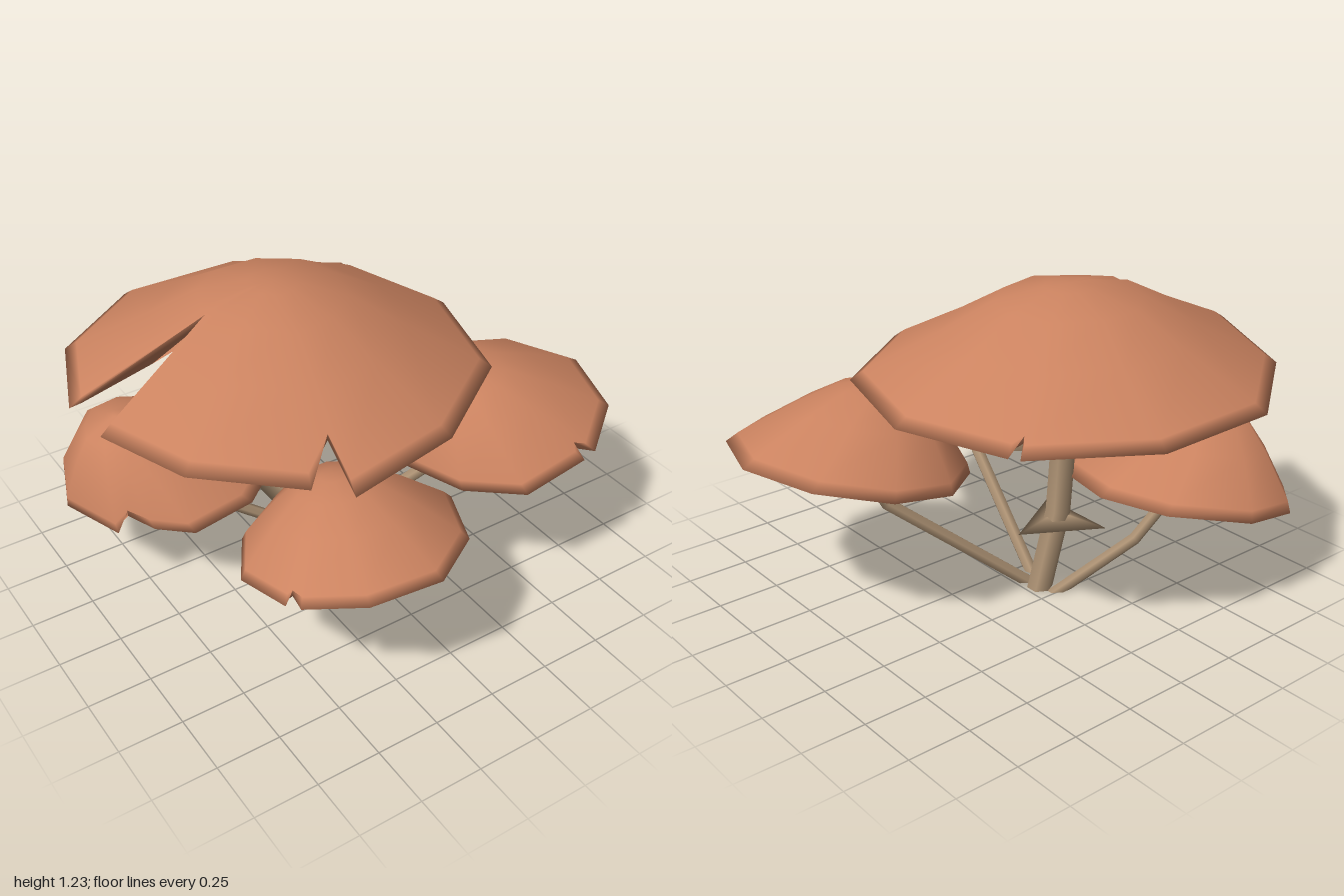
import * as THREE from 'three';
import { mergeVertices } from 'three/addons/utils/BufferGeometryUtils.js';

const V = (p) => new THREE.Vector3(...p);

// Straight-segment path whose tube rings sit exactly on the given points
class Polyline extends THREE.Curve {
  constructor(points) { super(); this.points = points.map(V); }
  getPoint(t, target = new THREE.Vector3()) {
    const s = t * (this.points.length - 1);
    const i = Math.min(Math.floor(s), this.points.length - 2);
    return target.lerpVectors(this.points[i], this.points[i + 1], s - i);
  }
  getPointAt(u, target) { return this.getPoint(u, target); }
  getTangentAt(u, target) { return this.getTangent(u, target); }
}

const RINGS = [0, 0.12, 0.35, 0.6, 0.94, 1];
const BROAD = [0, 0.03, 0.17, 0.5, 0.9, 1];
const ROUND = [0, 0.03, 0.14, 0.42, 0.88, 1];

// Outer skin from apex to rim, then back along the flatter underside: [radius, offset]
const ROWS = [...RINGS.map((t) => [t, 0]), [0.94, -0.025],
  [0.6, -0.07], [0.35, -0.1], [0.12, -0.11], [0, -0.11]];

// Drop below the apex (0..1) at radius fraction t
function drop(profile, t) {
  const i = RINGS.findIndex((r) => r >= t - 1e-9);
  if (i <= 0) return 0;
  return THREE.MathUtils.mapLinear(t, RINGS[i - 1], RINGS[i], profile[i - 1], profile[i]);
}

// Domed cap. Rim entries: [x, z, reach, lift]; a reach below 1 cuts a notch.
function capGeometry({ center, apex, slope, profile, rim }) {
  const c = V(center), axis = V(apex).sub(c);
  const pos = [], normals = [], index = [], n = ROWS.length;
  rim.forEach(([x, z, reach = 1, lift = 0], i) => {
    const dx = x - c.x, dz = z - c.z;
    const edge = new THREE.Vector3(dx, dx * slope[0] + dz * slope[1] + lift, dz);
    const across = new THREE.Vector3(-dz, -dz * slope[0] + dx * slope[1], dx);
    const column = (limit) => ROWS.map(([t, dy]) => {
      const r = Math.min(t, limit);
      const p = c.clone().addScaledVector(edge, r).addScaledVector(axis, 1 - drop(profile, r));
      p.y += dy;
      return p;
    });
    // Smooth normals come from the uncut column
    const full = column(1);
    column(reach).forEach((p, k) => {
      const normal = axis.clone();
      if (k === n - 1) normal.negate();
      else if (k > 0) {
        const before = full[k].clone().sub(full[k - 1]).normalize();
        const after = full[k + 1].clone().sub(full[k]).normalize();
        normal.crossVectors(across, before.add(after));
      }
      pos.push(...p.toArray());
      normals.push(...normal.normalize().toArray());
    });
    const a = i * n, b = ((i + 1) % rim.length) * n;
    for (let k = 0; k < n - 1; k++) {
      index.push(a + k, b + k + 1, a + k + 1, a + k, b + k, b + k + 1);
    }
  });
  const g = new THREE.BufferGeometry();
  g.setAttribute('position', new THREE.Float32BufferAttribute(pos, 3));
  g.setAttribute('normal', new THREE.Float32BufferAttribute(normals, 3));
  g.setIndex(index);
  return g;
}

const CAPS = {
  mainCap: {
    center: [-0.19, 0.89, -0.13], apex: [-0.19, 1.24, -0.16], slope: [-0.015, 0], profile: BROAD,
    rim: [[-0.44, -0.93], [0.06, -0.93], [0.46, -0.66], [0.46, -0.65, 0.9], [0.48, -0.62],
      [0.62, -0.18], [0.48, 0.31], [0.07, 0.6], [-0.4, 0.7], [-0.43, 0.7, 0.75],
      [-0.51, 0.6, 1, 0.01], [-0.83, 0.32, 1, 0.015], [-0.98, 0, 1, 0.045],
      [-0.97, -0.16, 0.36], [-1, -0.21, 1, 0.05], [-0.83, -0.64, 1, 0.015]],
  },
  leftCap: {
    center: [0.56, 0.61, 0.23], apex: [0.38, 0.885, 0.23], slope: [0.18, 0], profile: ROUND,
    rim: [[0.67, -0.24], [0.89, -0.06], [0.995, 0.23], [0.9, 0.53], [0.69, 0.69],
      [0.66, 0.7, 0.89], [0.63, 0.7], [0.36, 0.7], [0.2, 0.52], [0.12, 0.24],
      [0.2, -0.06], [0.42, -0.24]],
  },
  frontCap: {
    center: [-0.29, 0.535, 0.5], apex: [-0.31, 0.78, 0.42], slope: [0.025, 0.15], profile: ROUND,
    rim: [[-0.36, 0.1], [-0.14, 0.11], [0.05, 0.26], [0.14, 0.53], [0.02, 0.79], [-0.2, 0.93],
      [-0.47, 0.89], [-0.65, 0.75], [-0.68, 0.725, 0.9], [-0.68, 0.7], [-0.72, 0.47],
      [-0.59, 0.25]],
  },
  backCap: {
    center: [-0.56, 0.42, -0.41], apex: [-0.75, 0.7, -0.42], slope: [0.12, 0], profile: ROUND,
    rim: [[-0.7, -0.87], [-0.48, -0.87], [-0.24, -0.67], [-0.14, -0.42], [-0.2, -0.14],
      [-0.42, 0.03], [-0.67, 0.04], [-0.78, -0.08], [-0.84, -0.13, 0.87],
      [-0.89, -0.17, 1, -0.02], [-0.985, -0.42], [-0.88, -0.7, 1, -0.025]],
  },
};

const STEMS = {
  mainStem: [0.05, [[-0.06, 0.01, -0.17], [-0.15, 0.32, -0.17], [-0.18, 0.66, -0.165],
    [-0.185, 1.15, -0.165]]],
  leftStem: [0.027, [[-0.05, 0.01, -0.1], [0.44, 0.41, 0.15], [0.49, 0.52, 0.18],
    [0.46, 0.78, 0.22]]],
  frontStem: [0.027, [[-0.12, 0.01, -0.04], [-0.22, 0.37, 0.44], [-0.255, 0.48, 0.48],
    [-0.31, 0.7, 0.44]]],
  backStem: [0.025, [[-0.1, 0.01, -0.24], [-0.39, 0.19, -0.36], [-0.57, 0.4, -0.42],
    [-0.69, 0.61, -0.42]]],
};

// Six-sided bent tube with its foot cut level
function stemGeometry(radius, points) {
  const g = new THREE.TubeGeometry(new Polyline(points), points.length - 1, radius, 6);
  const p = g.attributes.position;
  const dir = V(points[1]).sub(V(points[0]));
  for (let i = 0; i <= 6; i++) {
    const v = new THREE.Vector3().fromBufferAttribute(p, i);
    v.addScaledVector(dir, (points[0][1] - v.y) / dir.y);
    p.setXYZ(i, v.x, v.y, v.z);
  }
  return g;
}

// Three-pointed skirt with softened normals
function skirtGeometry(radius, height) {
  const g = new THREE.CylinderGeometry(0.045, radius, height, 3, 1, false, Math.PI / 2);
  g.deleteAttribute('normal');
  g.deleteAttribute('uv');
  const merged = mergeVertices(g);
  merged.computeVertexNormals();
  return merged;
}

export function createModel() {
  const group = new THREE.Group();
  const capMat = new THREE.MeshStandardMaterial({ color: 0xcb8360, side: THREE.DoubleSide });
  capMat.name = 'terracotta cap';
  const stemMat = new THREE.MeshStandardMaterial({ color: 0xac9173, side: THREE.DoubleSide });
  stemMat.name = 'tan stem';

  const add = (name, geometry, material) => {
    const mesh = new THREE.Mesh(geometry, material);
    mesh.name = name;
    group.add(mesh);
    return mesh;
  };

  for (const [name, spec] of Object.entries(CAPS)) add(name, capGeometry(spec), capMat);
  for (const [name, spec] of Object.entries(STEMS)) add(name, stemGeometry(...spec), stemMat);

  // Skirts around the main stem
  add('lowerSkirt', skirtGeometry(0.2, 0.03), stemMat).position.set(-0.15, 0.29, -0.167);
  const upper = add('upperSkirt', skirtGeometry(0.31, 0.07), stemMat);
  upper.position.set(-0.18, 0.675, -0.167);
  upper.rotation.y = -0.1;

  return group;
}
